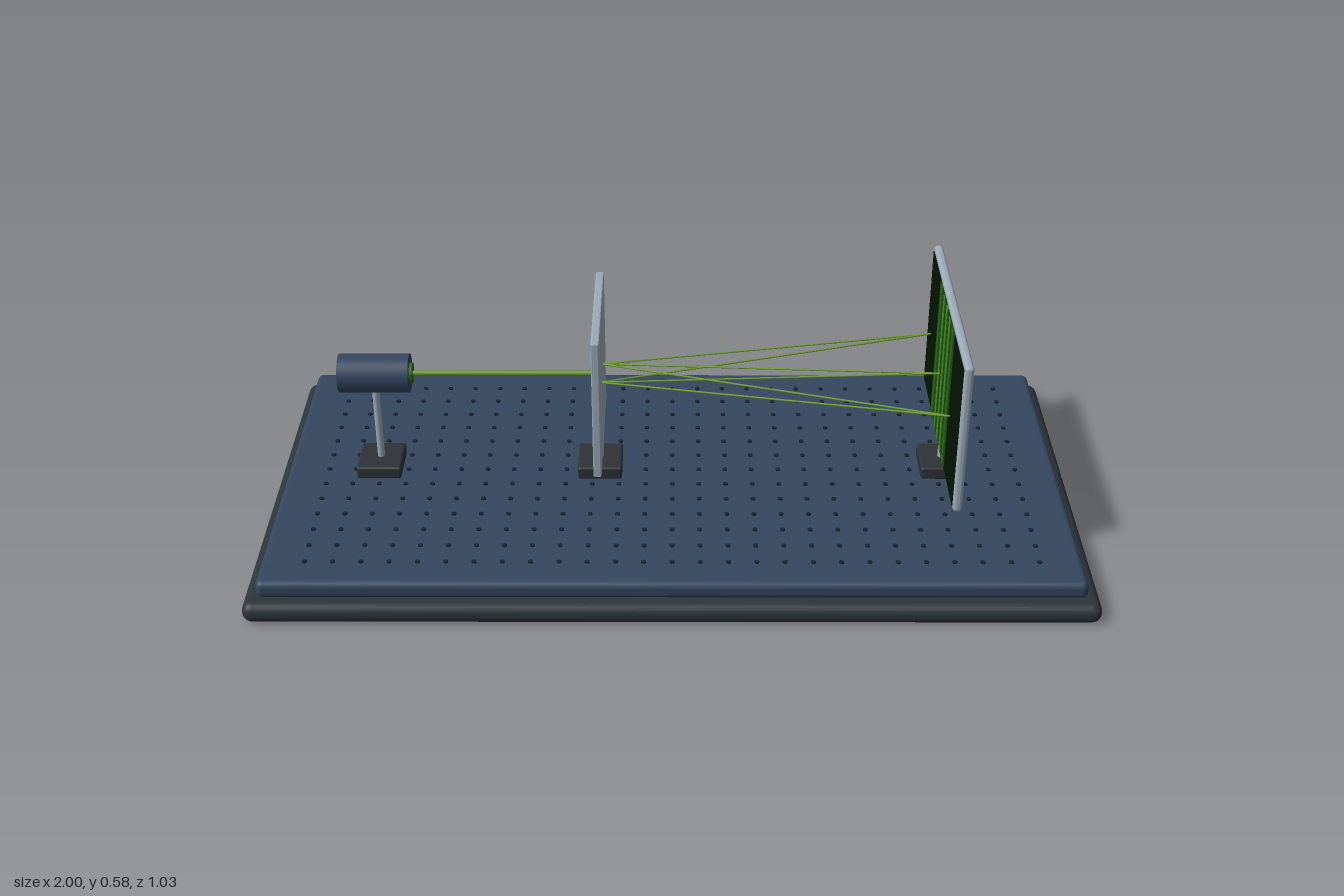
import * as THREE from 'three';
import { RoundedBoxGeometry } from 'three/addons/geometries/RoundedBoxGeometry.js';

const mat = (name, color, side = THREE.FrontSide) =>
  Object.assign(new THREE.MeshStandardMaterial({ color, side }), { name });

export function createModel() {
  const m = {
    base: mat('charcoal base', 0x2c3539),
    table: mat('navy blue', 0x34465f),
    hole: mat('hole black', 0x1a222c),
    foot: mat('dark grey', 0x2e3338),
    panel: mat('pale blue grey', 0x9cabba),
    screen: mat('screen black', 0x061406),
    dim: mat('dim green', 0x1c4a10),
    mid: mat('mid green', 0x2a6a16),
    bright: mat('bright green', 0x3d8f1e),
    beam: mat('beam green', 0x6f9f2c),
  };
  const root = new THREE.Group();
  root.name = 'doubleSlitBench';
  const AXIS_Y = 0.38, SLIT_X = -0.18, SCREEN_X = 0.674, LASER_X = -0.73;

  const add = (name, geo, material, x = 0, y = 0, z = 0, parent = root) => {
    const mesh = new THREE.Mesh(geo, material);
    mesh.name = name;
    mesh.position.set(x, y, z);
    parent.add(mesh);
    return mesh;
  };
  const rounded = (w, h, d, r) => new RoundedBoxGeometry(w, h, d, 4, r);

  // Cylinder along x
  const barrel = (name, r, x0, x1, material) => {
    const geo = new THREE.CylinderGeometry(r, r, x1 - x0, 32).rotateZ(-Math.PI / 2);
    return add(name, geo, material, (x0 + x1) / 2, AXIS_Y, 0);
  };

  // Thin round beam between two points
  const beam = (name, a, b, r) => {
    const dir = b.clone().sub(a);
    const mesh = add(name, new THREE.CylinderGeometry(r, r, dir.length(), 8), m.beam);
    mesh.position.copy(a).add(b).multiplyScalar(0.5);
    mesh.quaternion.setFromUnitVectors(new THREE.Vector3(0, 1, 0), dir.normalize());
  };

  // Base and table top
  add('base', rounded(2, 0.052, 1.03, 0.024), m.base, 0, 0.026, 0);
  add('tableTop', rounded(1.935, 0.045, 0.97, 0.016), m.table, 0, 0.0755, 0);

  // Grid of threaded holes
  const cols = 27, rows = 13, pitch = 0.0664;
  const holes = new THREE.InstancedMesh(new THREE.CylinderGeometry(0.006, 0.006, 0.004, 10), m.hole, 1);
  const holeGroup = new THREE.Group();
  holeGroup.name = 'tableHoles';
  root.add(holeGroup);
  for (let i = 0; i < cols; i++)
    for (let j = 0; j < rows; j++)
      add('hole', holes.geometry, m.hole,
        (i - (cols - 1) / 2) * pitch, 0.0995, (j - (rows - 1) / 2) * pitch, holeGroup);

  // Foot and post under each instrument
  const stand = (name, x, top) => {
    const g = new THREE.Group();
    g.name = name;
    root.add(g);
    add('foot', rounded(0.11, 0.033, 0.12, 0.006), m.foot, x, 0.125, 0, g);
    add('post', new THREE.CylinderGeometry(0.009, 0.009, top - 0.135, 16), m.panel, x, (top + 0.135) / 2, 0, g);
  };
  stand('laserStand', LASER_X, 0.345);
  stand('slitStand', SLIT_X, 0.205);
  stand('screenStand', SCREEN_X, 0.19);

  // Laser
  barrel('laserBody', 0.048, -0.815, -0.642, m.table);
  barrel('laserAperture', 0.026, -0.645, -0.635, m.mid);

  // Plate with two slits, drawn in the z-y plane
  const rect = (Type, x0, x1, y0, y1) => {
    const s = new Type();
    s.moveTo(x0, y0); s.lineTo(x1, y0); s.lineTo(x1, y1); s.lineTo(x0, y1); s.closePath();
    return s;
  };
  const SLIT_Z = 0.045, bevel = 0.003;
  const plate = rect(THREE.Shape, -0.182, 0.182, -0.179, 0.179);
  for (const s of [-1, 1])
    plate.holes.push(rect(THREE.Path, s * SLIT_Z - 0.011, s * SLIT_Z + 0.011, -0.15, 0.15));
  const plateGeo = new THREE.ExtrudeGeometry(plate, {
    depth: 0.014, bevelEnabled: true, bevelSize: bevel, bevelThickness: bevel, bevelSegments: 2,
  }).translate(0, 0, -0.007).rotateY(Math.PI / 2);
  add('slitPlate', plateGeo, m.panel, SLIT_X, AXIS_Y, 0);

  // Viewing screen with interference fringes on the side facing the laser
  add('screenPanel', rounded(0.022, 0.395, 0.626, 0.009), m.panel, SCREEN_X, 0.3785, 0);
  const face = SCREEN_X - 0.011;
  const strip = (name, z, w, t, material) =>
    add(name, new THREE.BoxGeometry(t, 0.37, w), material, face - t / 2, 0.3785, z);
  strip('screenFace', 0, 0.6, 0.002, m.screen);
  strip('fringeGlow', 0, 0.28, 0.003, m.dim);
  for (let k = -2; k <= 2; k++)
    strip('fringe', k * 0.055, 0.022, 0.004, Math.abs(k) === 2 ? m.mid : m.bright);

  // Laser beam and the rays leaving each slit
  const p = (x, z) => new THREE.Vector3(x, AXIS_Y, z);
  beam('laserBeam', p(-0.636, 0), p(SLIT_X - 0.01, 0), 0.006);
  for (const s of [-1, 1])
    for (const z of [-0.2, 0, 0.2])
      beam('slitRay', p(SLIT_X + 0.005, s * SLIT_Z), p(0.655, z), 0.0024);

  return root;
}
